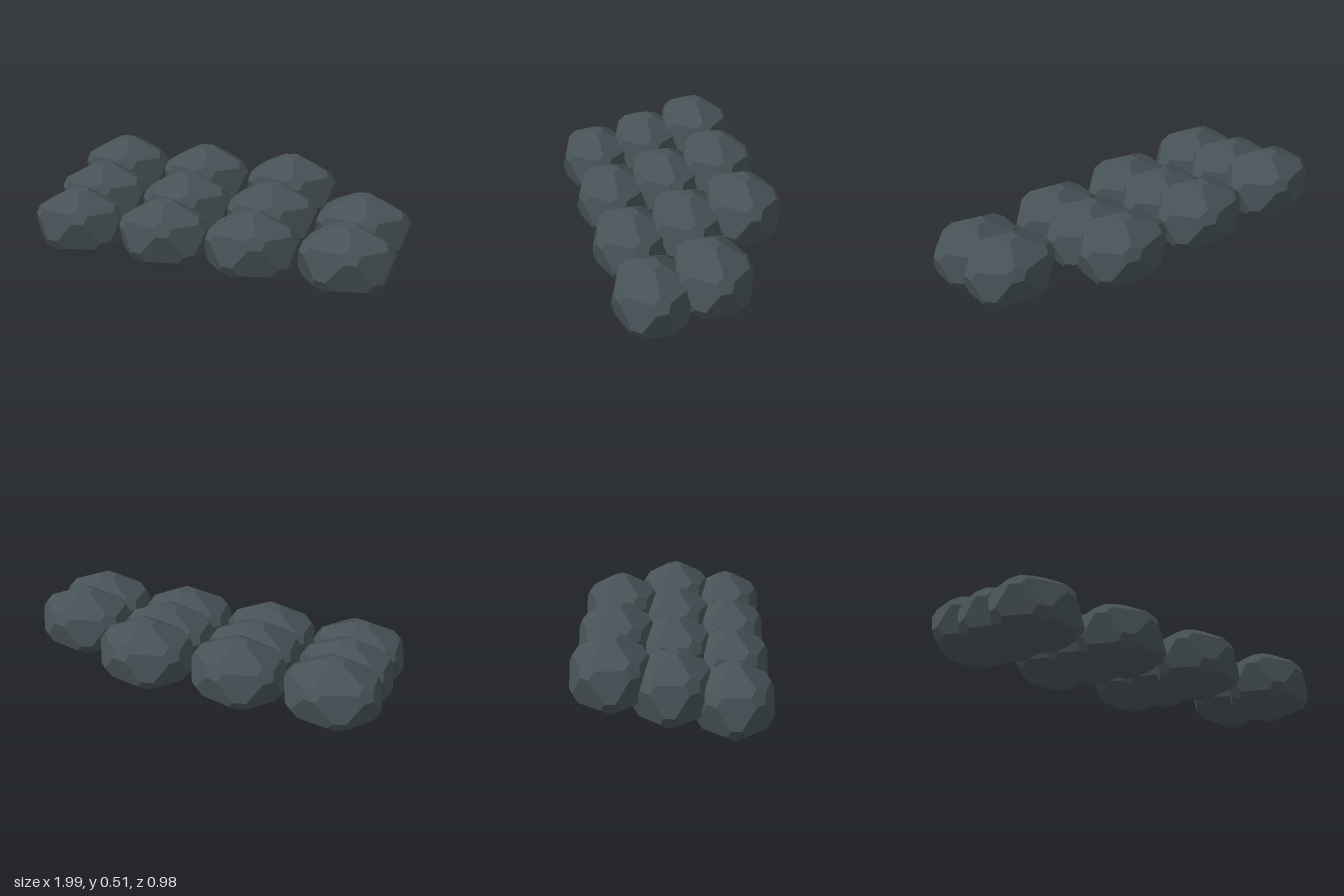
import * as THREE from 'three';
import { ConvexGeometry } from 'three/addons/geometries/ConvexGeometry.js';

// Icosahedron standing on a pole, with every corner cut off
function cutStone(cut) {
  const ring = Math.sqrt(0.8), h = Math.sqrt(0.2);
  const corners = [new THREE.Vector3(0, 1, 0), new THREE.Vector3(0, -1, 0)];
  for (let i = 0; i < 5; i++) {
    const a = (i * 2 * Math.PI) / 5;
    corners.push(new THREE.Vector3(ring * Math.cos(a), h, ring * Math.sin(a)));
    corners.push(new THREE.Vector3(-ring * Math.cos(a), -h, -ring * Math.sin(a)));
  }
  const points = [];
  for (const a of corners) {
    for (const b of corners) {
      const d = a.distanceTo(b);
      if (d > 0.1 && d < 1.2) points.push(a.clone().lerp(b, cut));
    }
  }
  return new ConvexGeometry(points);
}

export function createModel() {
  const group = new THREE.Group();
  const slate = new THREE.MeshStandardMaterial({ color: 0x475257, flatShading: true });
  slate.name = 'slate grey';
  const geometry = cutStone(0.22);

  // Three rows stepping up towards the back; the back row is one stone short
  const rows = [
    { name: 'frontStone', y: 0.19, z: 0.29, xs: [-0.745, -0.248, 0.242, 0.742] },
    { name: 'middleStone', y: 0.253, z: -0.005, xs: [-0.75, -0.25, 0.24, 0.735] },
    { name: 'backStone', y: 0.325, z: -0.295, xs: [-0.755, -0.26, 0.245] },
  ];
  // Small turns keep the stones from looking identical
  const turns = [0.02, -0.03, 0.05, -0.02];

  rows.forEach((row, r) => {
    row.xs.forEach((x, i) => {
      const stone = new THREE.Mesh(geometry, slate);
      stone.name = row.name + (i + 1);
      stone.position.set(x, row.y, row.z);
      stone.scale.set(0.287, 0.212, 0.228);
      stone.rotation.y = turns[(i + r) % 4];
      group.add(stone);
    });
  });
  return group;
}
